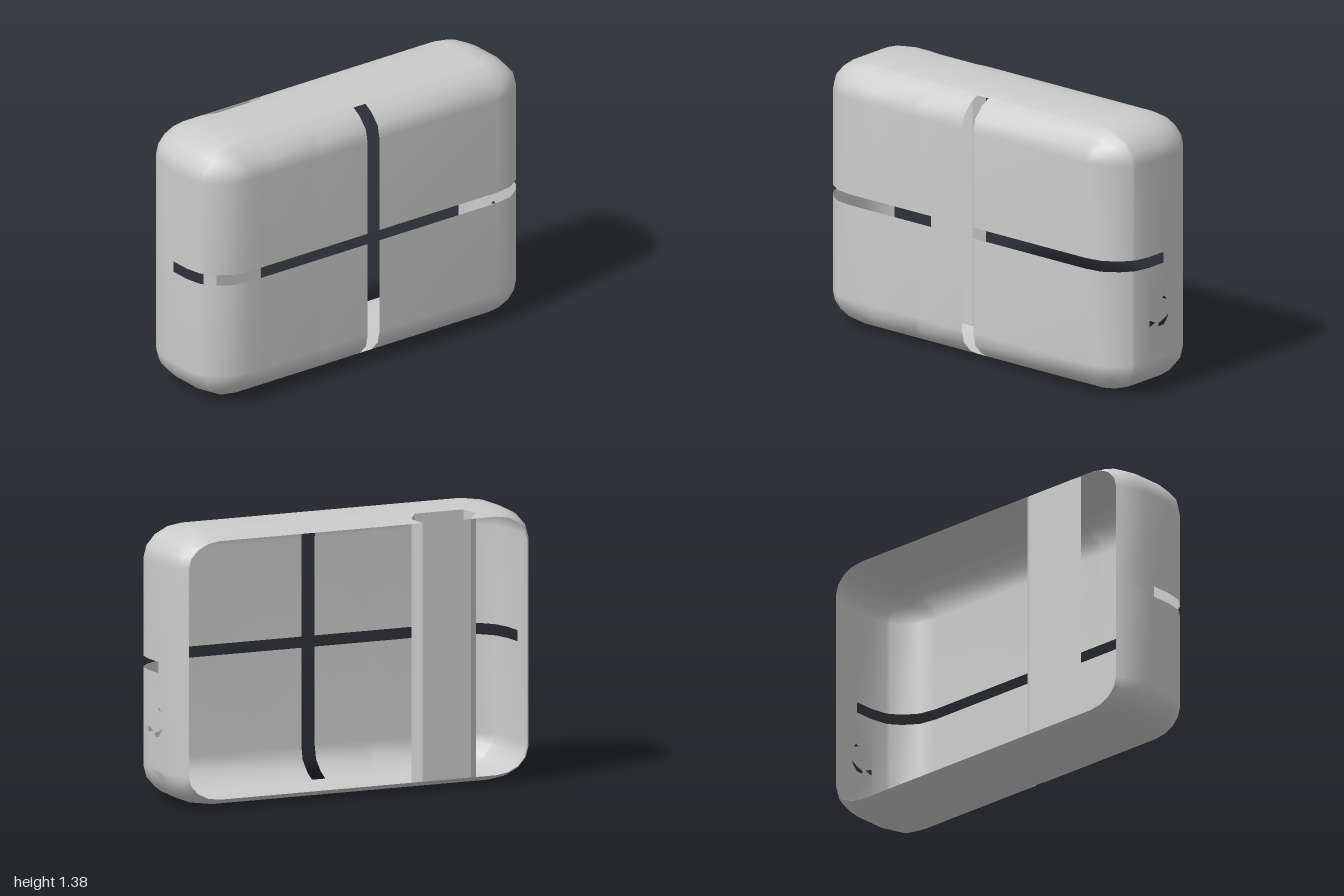
import * as THREE from 'three';
import { mergeVertices } from 'three/addons/utils/BufferGeometryUtils.js';

const MID = 0.695;                 // height of the centre line
const CORE = [0.77, 0.522];        // half size of the flat front
const ROUND = [0.23, 0.17];        // how far the rounding extends in x and y
// [z, share of the rounding], from the open back rim to the flat front
const RINGS = [[-0.27, 0.75], [-0.235, 0.86], [-0.185, 0.955], [-0.12, 1], [-0.055, 1], [0.055, 1],
  [0.14, 0.93], [0.155, 0.89], [0.205, 0.72], [0.255, 0.4], [0.27, 0]];
const XS = [-0.77, -0.675, -0.63, -0.36, -0.315, -0.037, 0.037, 0.77];
const YS = [MID - CORE[1], 0.667, 0.723, MID + CORE[1]];

// Openings: cross-shaped slots, tube mouth in the top, and the pierced side panel
function isOpen(x, y, z) {
  if (Math.abs(x) < 0.037 && z > 0.155) return true;
  if (y > 0.667 && y < 0.723 && z > -0.055) return true;
  const depth = z < -0.235 ? 0.035 : 0.05;
  if (y > 1.2 && z < -0.185 && Math.abs(x + 0.495) < 0.18 - 0.045 * Math.abs(z + 0.235) / depth) return true;
  return x > 0.999 && y > YS[0] && y < 0.667 && z > -0.12 && z < 0.055;
}

// Outline points as core position plus rounding direction, counterclockwise from the front
function outline() {
  const pts = [];
  const corner = (sx, sy, start) => {
    for (let k = 0; k <= 4; k++) {
      const a = start + (k / 4) * Math.PI / 2;
      pts.push([sx * CORE[0], MID + sy * CORE[1], Math.cos(a), Math.sin(a)]);
    }
  };
  const innerX = XS.slice(1, -1), innerY = YS.slice(1, -1);
  corner(-1, -1, Math.PI);
  innerX.forEach(x => pts.push([x, YS[0], 0, -1]));
  corner(1, -1, -Math.PI / 2);
  innerY.forEach(y => pts.push([CORE[0], y, 1, 0]));
  corner(1, 1, 0);
  innerX.slice().reverse().forEach(x => pts.push([x, YS[3], 0, 1]));
  corner(-1, 1, Math.PI / 2);
  innerY.slice().reverse().forEach(y => pts.push([-CORE[0], y, -1, 0]));
  return pts;
}

// Flat side panel pierced by a small smiling face
function piercedPanel() {
  const loop = pts => pts.map(p => new THREE.Vector2(...p));
  const shape = new THREE.Shape(loop([[-0.055, YS[0]], [0.12, YS[0]], [0.12, 0.667], [-0.055, 0.667]]));
  const holes = [
    [[-0.052, 0.39], [-0.008, 0.37], [-0.052, 0.357]],
    [[0.044, 0.485], [0.06, 0.495], [0.08, 0.472]],
    [[0.015, 0.36], [0.055, 0.373], [0.092, 0.393], [0.08, 0.37], [0.055, 0.346], [0.018, 0.344]],
  ];
  holes.forEach(h => shape.holes.push(new THREE.Path(loop(h))));
  const g = new THREE.ShapeGeometry(shape).rotateY(Math.PI / 2).translate(1, 0, 0);
  return Array.from(g.toNonIndexed().attributes.position.array);
}

function shellGeometry() {
  const pos = piercedPanel();
  const tri = (...v) => {
    const c = [0, 1, 2].map(k => (v[0][k] + v[1][k] + v[2][k]) / 3);
    if (!isOpen(...c)) v.forEach(p => pos.push(...p));
  };
  const quad = (a, b, c, d) => {
    // The diagonal follows the slanted edges of the tube mouth
    const mx = (a[0] + c[0]) / 2, mz = (a[2] + c[2]) / 2;
    if ((mx < -0.495) === (mz < -0.235)) { tri(a, b, c); tri(a, c, d); }
    else { tri(a, b, d); tri(b, c, d); }
  };
  const loop = outline();
  const at = (j, i) => {
    const [x, y, ux, uy] = loop[i % loop.length], [z, s] = RINGS[j];
    return [x + ux * ROUND[0] * s, y + uy * ROUND[1] * s, z];
  };
  // Rounded walls
  for (let j = 0; j < RINGS.length - 1; j++)
    for (let i = 0; i < loop.length; i++)
      quad(at(j, i), at(j, i + 1), at(j + 1, i + 1), at(j + 1, i));
  // Flat front
  for (let i = 0; i < XS.length - 1; i++)
    for (let j = 0; j < YS.length - 1; j++)
      quad([XS[i], YS[j], 0.27], [XS[i + 1], YS[j], 0.27], [XS[i + 1], YS[j + 1], 0.27], [XS[i], YS[j + 1], 0.27]);
  const g = new THREE.BufferGeometry();
  g.setAttribute('position', new THREE.Float32BufferAttribute(pos, 3));
  const merged = mergeVertices(g, 1e-4);
  merged.computeVertexNormals();
  return merged;
}

// Six-sided upright tube, trimmed to the curve of the shell
function tubeGeometry() {
  const hex = [[-0.675, 1], [-0.63, 2], [-0.36, 2], [-0.315, 1], [-0.36, 0], [-0.63, 0]];
  const pos = [], index = [];
  hex.forEach(([x, r], i) => {
    const [z, s] = RINGS[r], h = CORE[1] + ROUND[1] * s;
    pos.push(x, MID - h, z, x, MID + h, z);
    const a = 2 * i, b = 2 * ((i + 1) % 6);
    index.push(a, b, b + 1, a, b + 1, a + 1);
  });
  const g = new THREE.BufferGeometry();
  g.setAttribute('position', new THREE.Float32BufferAttribute(pos, 3));
  g.setIndex(index);
  g.computeVertexNormals();
  return g;
}

export function createModel() {
  const group = new THREE.Group();
  const add = (name, geometry, flatShading) => {
    const material = new THREE.MeshStandardMaterial({ color: 0xcccccc, side: THREE.DoubleSide, flatShading });
    const mesh = new THREE.Mesh(geometry, material);
    mesh.name = name;
    group.add(mesh);
  };
  add('shell', shellGeometry(), false);
  add('tube', tubeGeometry(), true);
  return group;
}
